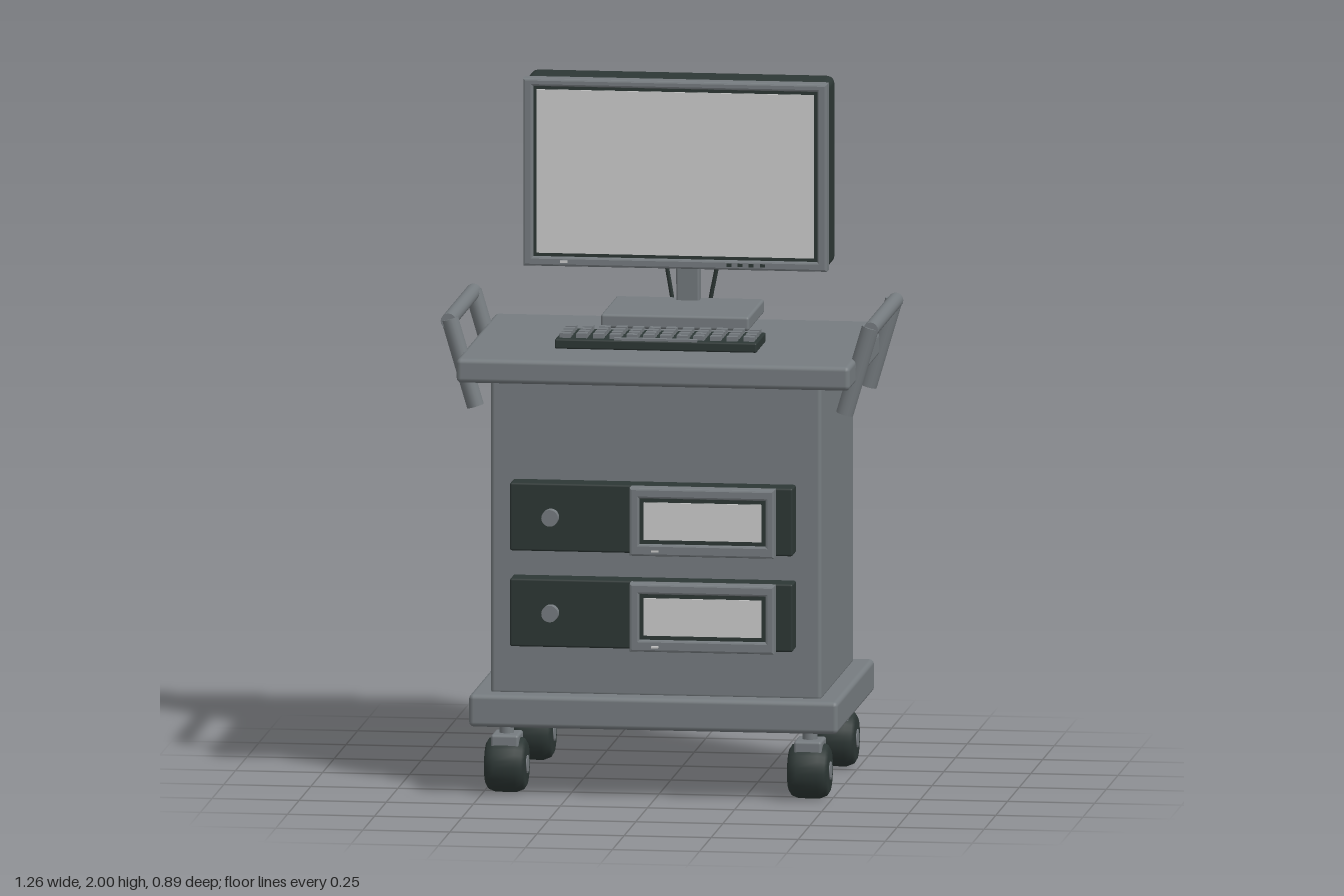
import * as THREE from 'three';
import { RoundedBoxGeometry } from 'three/addons/geometries/RoundedBoxGeometry.js';

const mat = (name, color) => Object.assign(new THREE.MeshStandardMaterial({ color }), { name });

export function createModel() {
  const gray = mat('gray', 0x767c80);
  const dark = mat('charcoal', 0x2d3735);
  const pale = mat('screen', 0xcdcdcd);
  const root = new THREE.Group();
  root.name = 'equipmentCart';

  const add = (name, geo, material, pos = [0, 0, 0], parent = root) => {
    const m = new THREE.Mesh(geo, material);
    m.name = name;
    m.position.set(...pos);
    parent.add(m);
    return m;
  };
  // Box given by its limits on each axis; r rounds the edges
  const box = (name, material, [x0, x1], [y0, y1], [z0, z1], r = 0, parent = root) => {
    const s = [x1 - x0, y1 - y0, z1 - z0];
    const geo = r ? new RoundedBoxGeometry(...s, 2, r) : new THREE.BoxGeometry(...s);
    return add(name, geo, material, [(x0 + x1) / 2, (y0 + y1) / 2, (z0 + z1) / 2], parent);
  };
  // Cylinder between two points
  const rod = (name, material, a, b, r, sides = 20, parent = root) => {
    const p = new THREE.Vector3(...a), q = new THREE.Vector3(...b);
    const d = q.clone().sub(p);
    const m = add(name, new THREE.CylinderGeometry(r, r, d.length(), sides), material,
      p.clone().add(q).multiplyScalar(0.5).toArray(), parent);
    m.quaternion.setFromUnitVectors(new THREE.Vector3(0, 1, 0), d.normalize());
    return m;
  };
  // Screen: bevelled frame with a dark recess and a pale panel
  const screen = (name, [x0, x1], [y0, y1], [z0, z1], [hx0, hx1], [hy0, hy1], gap) => {
    const g = new THREE.Group();
    g.name = name;
    root.add(g);
    const b = 0.006;
    const rect = (T, a, c, d, e) => new T([[a, d], [c, d], [c, e], [a, e]].map(p => new THREE.Vector2(...p)));
    const shape = rect(THREE.Shape, x0 + b, x1 - b, y0 + b, y1 - b);
    shape.holes.push(rect(THREE.Path, hx0 - b, hx1 + b, hy0 - b, hy1 + b));
    const geo = new THREE.ExtrudeGeometry(shape, {
      depth: z1 - z0 - 2 * b, bevelThickness: b, bevelSize: b, bevelSegments: 2,
    });
    add('bezel', geo, gray, [0, 0, z0 + b], g);
    box('panelBorder', dark, [hx0 - b, hx1 + b], [hy0 - b, hy1 + b], [z0 + 0.002, z1 - 0.012], 0, g);
    box('display', pale, [hx0 + gap, hx1 - gap], [hy0 + gap, hy1 - gap], [z1 - 0.012, z1 - 0.008], 0, g);
  };

  // Cart body
  box('tableTop', gray, [-0.565, 0.565], [1.195, 1.265], [-0.44, 0.387], 0.014);
  box('cabinet', gray, [-0.475, 0.475], [0.29, 1.2], [-0.37, 0.32], 0.012);
  box('base', gray, [-0.53, 0.53], [0.203, 0.297], [-0.41, 0.38], 0.014);

  // Casters
  const tyre = new THREE.LatheGeometry([
    [0, -0.058], [0.06, -0.058], [0.073, -0.05], [0.081, -0.03],
    [0.081, 0.03], [0.073, 0.05], [0.06, 0.058], [0, 0.058],
  ].map(p => new THREE.Vector2(...p)), 28).rotateZ(Math.PI / 2);
  for (const x of [-0.435, 0.435]) for (const z of [-0.312, 0.265]) {
    const c = new THREE.Group();
    c.name = 'caster';
    c.position.set(x, 0.082, z);
    root.add(c);
    add('wheel', tyre, dark, [0, 0, 0], c);
    rod('hub', gray, [-0.061, 0, 0], [0.061, 0, 0], 0.026, 16, c);
    box('fork', gray, [-0.04, 0.04], [0.045, 0.09], [-0.054, 0.054], 0.008, c);
    rod('stem', gray, [0, 0.08, 0], [0, 0.13, 0], 0.021, 16, c);
  }

  // Front instrument modules
  for (const y of [0.44, 0.716]) {
    box('moduleCase', dark, [-0.41, 0.402], [y, y + 0.196], [0.3, 0.39], 0.006);
    screen('moduleScreen', [-0.06, 0.355], [y, y + 0.196], [0.388, 0.44],
      [-0.032, 0.33], [y + 0.034, y + 0.166], 0.012);
    rod('knob', gray, [-0.292, y + 0.1, 0.385], [-0.292, y + 0.1, 0.418], 0.024);
    box('indicator', pale, [0.003, 0.023], [y + 0.012, y + 0.018], [0.438, 0.444]);
  }

  // Side handles
  for (const s of [-1, 1]) {
    const h = new THREE.Group();
    h.name = 'handle';
    root.add(h);
    for (const z of [-0.272, 0.23]) {
      rod('handleLeg', gray, [s * 0.53, 1.105, z], [s * 0.604, 1.355, z], 0.025, 16, h);
    }
    rod('handleBar', gray, [s * 0.606, 1.35, -0.295], [s * 0.606, 1.35, 0.245], 0.022, 16, h);
  }

  // Keyboard
  box('keyboardBody', dark, [-0.29, 0.29], [1.29, 1.318], [0.127, 0.325], 0.005);
  const key = new THREE.BoxGeometry(0.031, 0.016, 0.027);
  for (let i = 0; i < 12; i++) for (let j = 0; j < 4; j++) {
    add('key', key, gray, [-0.264 + i * 0.048, 1.323, 0.155 + j * 0.0435], root);
  }
  box('spaceBar', gray, [-0.12, 0.118], [1.31, 1.324], [0.305, 0.323]);

  // Monitor
  screen('monitorScreen', [-0.436, 0.436], [1.46, 2], [-0.14, -0.088], [-0.408, 0.408], [1.487, 1.978], 0.01);
  box('monitorShell', dark, [-0.436, 0.436], [1.46, 2], [-0.273, -0.137], 0.022);
  box('powerLight', pale, [-0.33, -0.308], [1.471, 1.477], [-0.09, -0.085]);
  for (let i = 0; i < 4; i++) {
    const x = 0.155 + i * 0.032;
    box('monitorButton', dark, [x - 0.007, x + 0.007], [1.47, 1.479], [-0.09, -0.084]);
  }

  // Monitor back: plate, vents, screws and ports
  box('backPlate', gray, [-0.328, 0.328], [1.555, 1.91], [-0.293, -0.268], 0.005);
  for (let i = 0; i < 12; i++) {
    const x = -0.253 + i * 0.046;
    box('vent', dark, [x - 0.013, x + 0.013], [1.835, 1.877], [-0.298, -0.291]);
  }
  for (const x of [-0.28, 0.28]) for (const y of [1.605, 1.81]) {
    rod('screw', dark, [x, y, -0.29], [x, y, -0.303], 0.01, 12);
  }
  box('portStrip', dark, [-0.17, 0.17], [1.588, 1.628], [-0.305, -0.29]);
  for (const x of [-0.135, -0.085, 0.085, 0.135]) {
    box('port', gray, [x - 0.013, x + 0.013], [1.599, 1.617], [-0.31, -0.304]);
  }

  // Monitor stand
  box('mountPlate', gray, [-0.1, 0.1], [1.63, 1.825], [-0.335, -0.29], 0.005);
  box('mountArm', gray, [-0.043, 0.043], [1.6, 1.775], [-0.372, -0.33], 0.006);
  rod('hinge', dark, [-0.085, 1.645, -0.375], [0.085, 1.645, -0.375], 0.047, 24);
  rod('hingePin', gray, [-0.089, 1.645, -0.375], [0.089, 1.645, -0.375], 0.026, 20);
  const neck = box('neck', gray, [-0.033, 0.033], [1.3, 1.63], [-0.402, -0.35], 0.006);
  neck.rotation.x = 0.06;
  box('standBase', gray, [-0.213, 0.213], [1.285, 1.326], [-0.416, -0.085], 0.008);

  // Cables and their loose connectors
  for (const [x0, x1, end] of [[0.1, 0.055, 1.235], [-0.085, -0.05, 1.115]]) {
    const path = new THREE.CatmullRomCurve3([
      [x0, 1.61, -0.305], [x0, 1.59, -0.35], [x0 * 0.95, 1.53, -0.395],
      [(x0 + x1) / 2, 1.42, -0.412], [x1, 1.3, -0.422], [x1, 1.24, -0.437], [x1, end, -0.437],
    ].map(p => new THREE.Vector3(...p)));
    add('cable', new THREE.TubeGeometry(path, 40, 0.006, 8), dark);
  }
  for (const y of [1.232, 1.115]) {
    box('cableConnector', dark, [-0.068, 0.068], [y - 0.009, y + 0.009], [-0.446, -0.418], 0.004);
  }
  return root;
}
